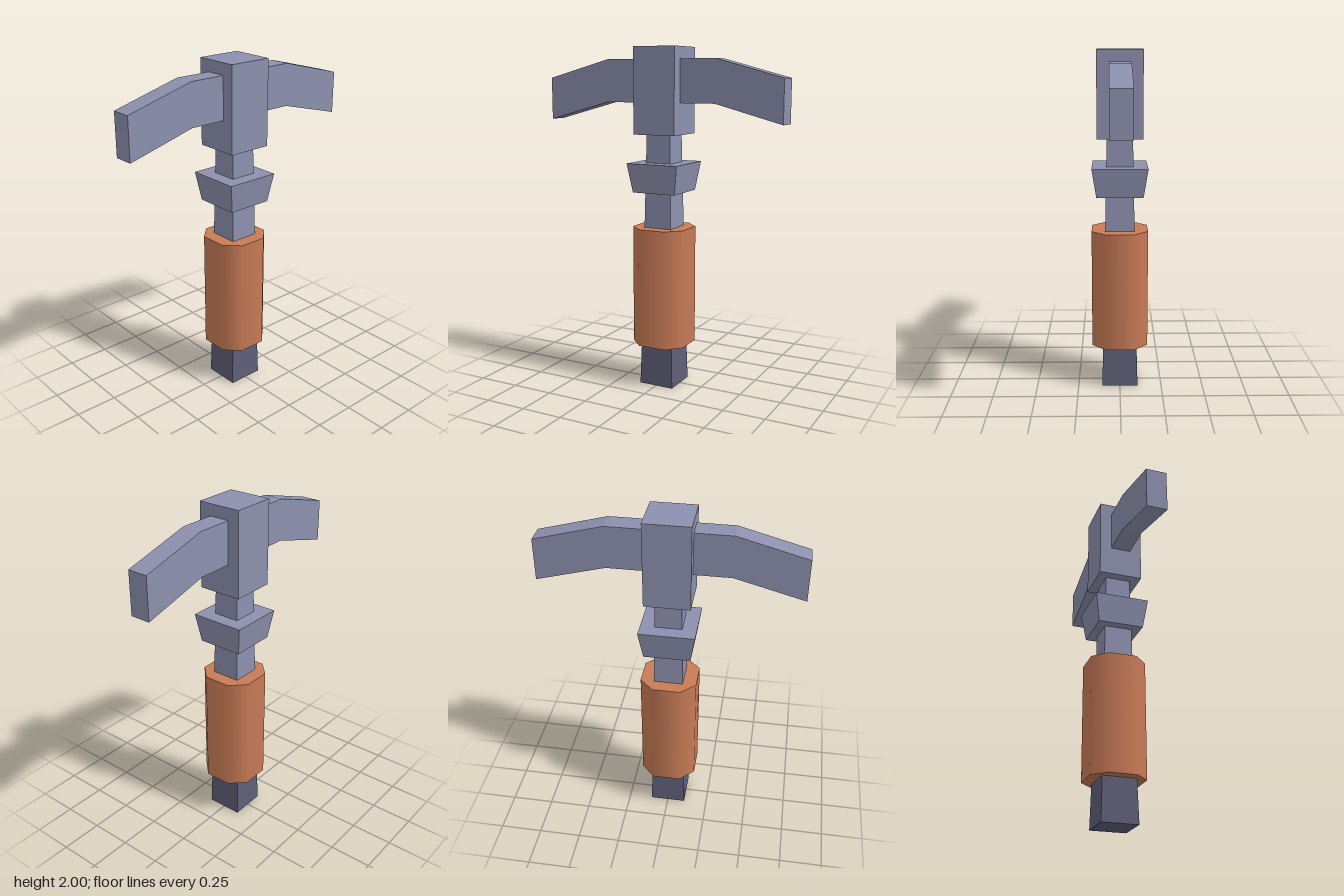
import * as THREE from 'three';

const material = (name, color) => {
  const m = new THREE.MeshStandardMaterial({ color });
  m.name = name;
  return m;
};

export function createModel() {
  const steel = material('blue grey steel', 0x8d91ae);
  const copper = material('copper grip', 0xc87b56);
  const dark = material('dark pommel', 0x5e5f78);

  const model = new THREE.Group();
  model.name = 'pickHammer';

  const add = (name, geometry, mat, y = 0) => {
    const mesh = new THREE.Mesh(geometry, mat);
    mesh.name = name;
    mesh.position.y = y;
    model.add(mesh);
    return mesh;
  };

  // Square block between two heights, with a half width at each end
  const taperedBlock = (name, y0, y1, w0, w1, mat) => {
    const geo = new THREE.BoxGeometry(2, y1 - y0, 2);
    const p = geo.attributes.position;
    for (let i = 0; i < p.count; i++) {
      const w = p.getY(i) > 0 ? w1 : w0;
      p.setX(i, p.getX(i) * w);
      p.setZ(i, p.getZ(i) * w);
    }
    geo.computeVertexNormals();
    return add(name, geo, mat, (y0 + y1) / 2);
  };

  // Shaft tapers upward; its foot is the dark pommel
  taperedBlock('pommel', 0, 0.255, 0.107, 0.1, dark);
  taperedBlock('shaft', 0.255, 1.505, 0.1, 0.075, steel);
  taperedBlock('collar', 1.17, 1.34, 0.135, 0.161, steel);
  taperedBlock('headBlock', 1.505, 2, 0.131, 0.131, steel);

  // Grip: an eight-sided tube with wide flats, smooth around its sides
  const grip = new THREE.CylinderGeometry(1, 1, 0.705, 8);
  grip.rotateY(Math.PI / 8);
  const gp = grip.attributes.position;
  const snap = (v) => (Math.abs(v) < 0.01 ? 0 : Math.sign(v) * (Math.abs(v) > 0.6 ? 0.165 : 0.082));
  for (let i = 0; i < gp.count; i++) {
    gp.setX(i, snap(gp.getX(i)));
    gp.setZ(i, snap(gp.getZ(i)));
  }
  add('grip', grip, copper, 0.6075);

  // Two drooping arms, mirrored across the head block
  for (const side of [1, -1]) {
    const outline = [
      [0.12, 1.685], [0.345, 1.685], [0.743, 1.578],
      [0.743, 1.825], [0.345, 1.932], [0.12, 1.932],
    ].map(([x, y]) => new THREE.Vector2(side * x, y));
    const arm = new THREE.ExtrudeGeometry(new THREE.Shape(outline), { depth: 0.12, bevelEnabled: false });
    arm.translate(0, 0, -0.06);
    add(side > 0 ? 'leftArm' : 'rightArm', arm, steel);
  }

  return model;
}
